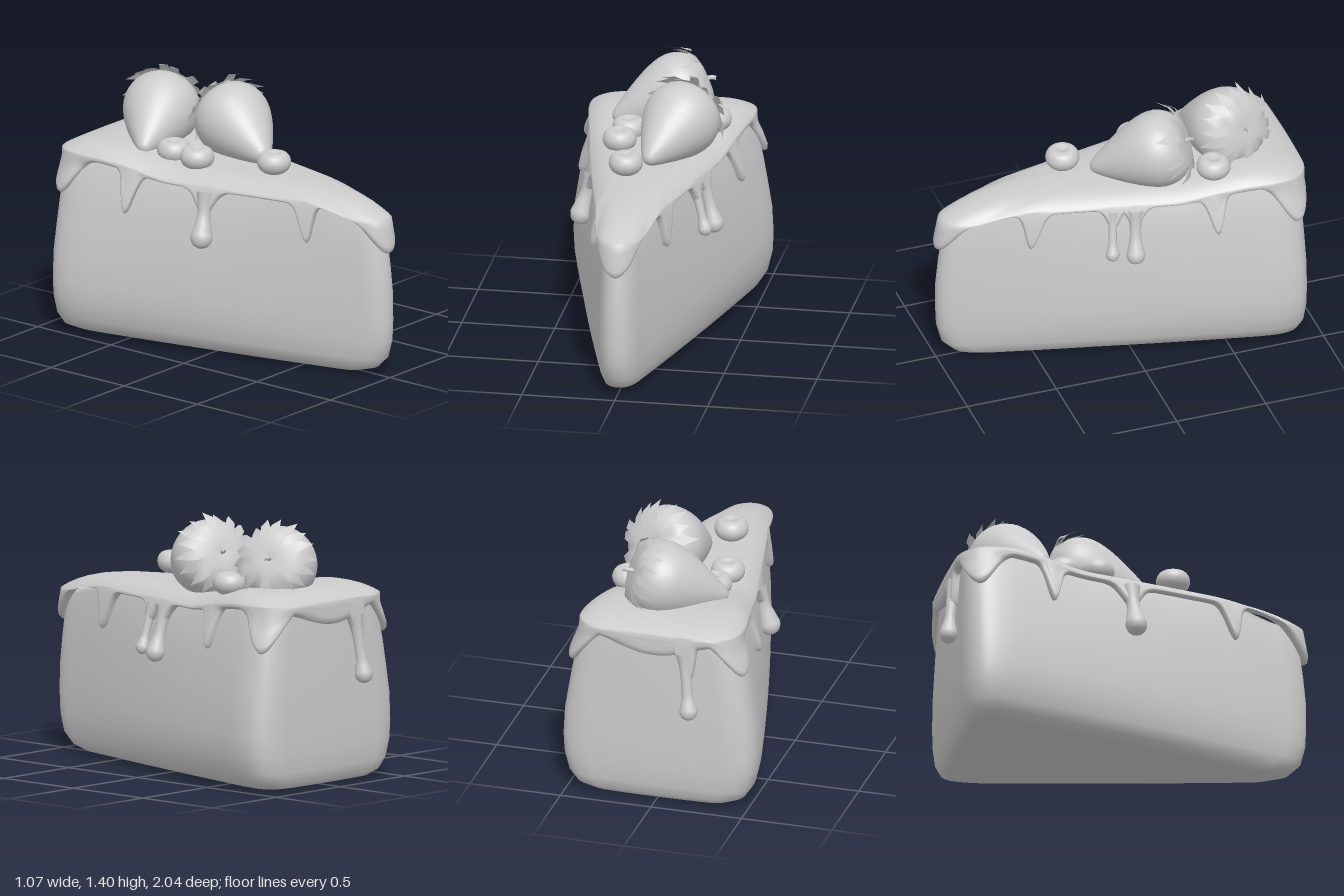
import * as THREE from 'three';

const V2 = (x, y) => new THREE.Vector2(x, y);
const V3 = (x, y, z) => new THREE.Vector3(x, y, z);
const mat = new THREE.MeshStandardMaterial({ color: 0xcccccc });
const thin = new THREE.MeshStandardMaterial({ color: 0xcccccc, side: THREE.DoubleSide });
const step = (x, a, b) => THREE.MathUtils.smoothstep(x, a, b);

// Rounded wedge outline, (x, z), counter-clockwise seen from above
function wedgeOutline(n) {
  const s = new THREE.Shape();
  s.moveTo(0, 1);
  s.quadraticCurveTo(0.075, 1, 0.11, 0.87);
  s.quadraticCurveTo(0.33, 0.12, 0.5, -0.6);
  s.bezierCurveTo(0.56, -0.84, 0.55, -0.92, 0.38, -0.94);
  s.quadraticCurveTo(0, -0.955, -0.38, -0.94);
  s.bezierCurveTo(-0.55, -0.92, -0.56, -0.84, -0.5, -0.6);
  s.quadraticCurveTo(-0.33, 0.12, -0.11, 0.87);
  s.quadraticCurveTo(-0.075, 1, 0, 1);
  const pts = s.getSpacedPoints(n).slice(0, n);
  return pts.map((p, i) => {
    const t = pts[(i + 1) % n].clone().sub(pts[(i + n - 1) % n]).normalize();
    return { x: p.x, z: p.y, nx: -t.y, nz: t.x };
  });
}
const outline = wedgeOutline(400);
// make the normals point away from the middle
outline.forEach(p => {
  if (p.nx * p.x + p.nz * (p.z + 0.4) < 0) { p.nx *= -1; p.nz *= -1; }
});

// Wedge taper: [y, x scale, z scale]
const taper = [
  [0, 0, 0], [0.003, 0.6, 0.8], [0.012, 0.76, 0.88], [0.04, 0.87, 0.94], [0.1, 0.945, 0.98],
  [0.2, 0.99, 0.997], [0.3, 1, 1], [0.45, 0.985, 1], [0.6, 0.94, 0.99], [0.72, 0.9, 0.98],
  [0.82, 0.85, 0.968], [0.9, 0.79, 0.958], [0.93, 0.76, 0.95],
];
function scaleAt(y) {
  let i = 1;
  while (i < taper.length - 1 && taper[i][0] < y) i++;
  const [a, b] = [taper[i - 1], taper[i]];
  const t = THREE.MathUtils.clamp((y - a[0]) / (b[0] - a[0]), 0, 1);
  return [a[1] + (b[1] - a[1]) * t, a[2] + (b[2] - a[2]) * t];
}
// Point on the wedge side at height y, pushed out by off
function sidePoint(p, y, off) {
  const [kx, kz] = scaleAt(y);
  return V3(p.x * kx + p.nx * off, y, -0.5 + (p.z + 0.5) * kz + p.nz * off);
}

// Skin closed rings, ordered from the bottom up
function loft(rings) {
  const n = rings[0].length, idx = [];
  for (let i = 0; i < rings.length - 1; i++) for (let j = 0; j < n; j++) {
    const a = i * n + j, b = i * n + (j + 1) % n;
    idx.push(a, b, a + n, b, b + n, a + n);
  }
  const g = new THREE.BufferGeometry().setFromPoints(rings.flat());
  g.setIndex(idx);
  g.computeVertexNormals();
  return g;
}

function add(parent, name, geo, material = mat) {
  const m = new THREE.Mesh(geo, material);
  m.name = name;
  parent.add(m);
  return m;
}
// Lathe around y from a smooth curve through [radius, y]
function turned(points, seg = 32) {
  const c = new THREE.SplineCurve(points.map(p => V2(...p)));
  const pts = c.getPoints(points.length * 4);
  pts.forEach(p => { p.x = Math.max(p.x, 0); });
  return new THREE.LatheGeometry(pts, seg);
}
// Stand an object at "from" with its y axis aimed at "to"
function aim(obj, from, to) {
  obj.position.copy(from);
  obj.quaternion.setFromUnitVectors(V3(0, 1, 0), to.clone().sub(from).normalize());
}

const topY = z => 1 + 0.06 * step(-z, 0.2, 0.7);
const shoulderY = z => topY(z) - 0.07 - 0.06 * step(z, 0.6, 0.95);

// Pointed runs of icing: [x, z, width, lowest y]
const runs = [
  [0, 1, 0.12, 0.69], [0.2, 0.55, 0.055, 0.71], [-0.19, 0.6, 0.05, 0.71],
  [0.46, -0.44, 0.05, 0.73], [-0.46, -0.46, 0.05, 0.72],
  [0.52, -0.87, 0.1, 0.75], [-0.52, -0.87, 0.1, 0.77], [0, -0.945, 0.36, 0.87],
  [0.35, 0, 0.055, 0.8], [0.32, 0.12, 0.05, 0.8], [-0.35, 0, 0.075, 0.78], [-0.22, -0.945, 0.07, 0.74],
];
function edgeY(p) {
  const base = 0.91 + 0.06 * step(-p.z, 0.2, 0.75);
  return Math.min(...runs.map(([x, z, w, low]) =>
    base - (base - low) * Math.exp(-((p.x - x) ** 2 + (p.z - z) ** 2) / (w * w))));
}

function cakeGeometry() {
  const rings = taper.map(([y]) => outline.map(p => {
    const v = sidePoint(p, y, 0);
    if (y > 0.7) v.y = 0.7 + (y - 0.7) * (shoulderY(p.z) - 0.7) / 0.23;
    return v;
  }));
  rings.push(outline.map(() => V3(0, 0.95, -0.35)));
  return loft(rings);
}

function icingGeometry() {
  const rings = [];
  const T = 0.042;
  const ring = f => rings.push(outline.map(p => f(p, edgeY(p), shoulderY(p.z))));
  // rounded lip, then side
  ring((p, e) => sidePoint(p, e + 0.01, -0.02));
  ring((p, e) => sidePoint(p, e, 0.02));
  ring((p, e, s) => sidePoint(p, e + Math.min(0.012, 0.2 * (s - e)), 0.035));
  for (const t of [0, 0.33, 0.67, 1]) ring((p, e, s) => {
    const y0 = e + Math.min(0.035, 0.45 * (s - e));
    return sidePoint(p, y0 + (s - y0) * t, T);
  });
  // shoulder and top
  for (const q of [0.985, 0.96, 0.92, 0.87, 0.8, 0.7, 0.5, 0.25, 0]) ring((p, e, s) => {
    const v = sidePoint(p, s, T);
    v.x *= q;
    v.z = -0.35 + (v.z + 0.35) * q;
    v.y = s + (topY(v.z) - s) * (1 - q ** 6);
    return v;
  });
  return loft(rings);
}

// Hanging drop with a thin neck, on the side nearest to (x, z)
function addDrop(parent, x, z, low, r) {
  const d = p => (p.x - x) ** 2 + (p.z - z) ** 2;
  const p = outline.reduce((a, b) => (d(b) < d(a) ? b : a));
  const a = sidePoint(p, low, 0.045), b = sidePoint(p, 0.9, 0.02);
  const L = a.distanceTo(b);
  const m = add(parent, 'icingDrop', turned([[0, 0], [r * 0.7, r * 0.3], [r, r], [r * 0.85, r * 1.8],
    [r * 0.62, r * 3], [r * 0.65, L * 0.75], [r * 0.9, L]], 20));
  aim(m, a, b);
}

// Ring of pointed leaves
function leavesGeometry(count) {
  const sec = [[0.005, 0.537, 0.004], [0.08, 0.545, 0.018], [0.14, 0.53, 0.03], [0.185, 0.49, 0.024], [0.228, 0.43, 0]];
  const pos = [], idx = [];
  for (let k = 0; k < count; k++) {
    const a = k / count * Math.PI * 2, c = Math.cos(a), s = Math.sin(a), o = pos.length / 3;
    const lift = 0.02 * (k % 3) - 0.01, reach = 1 + 0.04 * (k % 2);
    sec.forEach(([r, y, w], i) => {
      const R = r * (i > 2 ? reach : 1), Y = y + (i > 2 ? lift : 0);
      for (const h of [-w, w]) pos.push(c * R - s * h, Y, s * R + c * h);
      if (i) {
        const q = o + i * 2;
        idx.push(q - 2, q - 1, q, q - 1, q + 1, q);
      }
    });
  }
  const g = new THREE.BufferGeometry();
  g.setAttribute('position', new THREE.Float32BufferAttribute(pos, 3));
  g.setIndex(idx);
  g.computeVertexNormals();
  return g;
}

function strawberry(tip, cap) {
  const g = new THREE.Group();
  g.name = 'strawberry';
  add(g, 'strawberryFlesh', turned([[0, 0], [0.03, 0.012], [0.075, 0.075], [0.135, 0.18], [0.182, 0.28],
    [0.205, 0.37], [0.193, 0.45], [0.15, 0.505], [0.08, 0.53], [0, 0.53]], 40));
  add(g, 'strawberryLeaves', leavesGeometry(18), thin);
  const stem = new THREE.CatmullRomCurve3([V3(0, 0.52, 0), V3(0, 0.56, 0), V3(0.015, 0.59, 0.01)]);
  add(g, 'strawberryStem', new THREE.TubeGeometry(stem, 8, 0.012, 8));
  aim(g, tip, cap);
  return g;
}

export function createModel() {
  const model = new THREE.Group();
  model.name = 'cakeSlice';
  add(model, 'cakeBody', cakeGeometry());
  add(model, 'icing', icingGeometry());

  addDrop(model, 0.35, 0, 0.605, 0.05);
  addDrop(model, 0.32, 0.12, 0.63, 0.036);
  addDrop(model, -0.35, 0, 0.605, 0.058);
  addDrop(model, -0.22, -0.945, 0.53, 0.048);

  model.add(strawberry(V3(0.02, 1.03, 0.14), V3(0.2, 1.21, -0.33)));
  model.add(strawberry(V3(-0.27, 1.03, -0.47), V3(0.2, 1.21, -0.67)));

  // Round berries with a dimple on top
  const berry = turned([[0, -0.06], [0.045, -0.056], [0.08, -0.03], [0.091, 0.008], [0.075, 0.045],
    [0.045, 0.058], [0.02, 0.05], [0, 0.045]], 28);
  for (const [x, y, z] of [[-0.07, 1.065, 0.265], [-0.18, 1.03, -0.17], [-0.16, 1.03, -0.345], [0.28, 1.065, -0.46]])
    add(model, 'berry', berry).position.set(x, y, z);
  return model;
}
